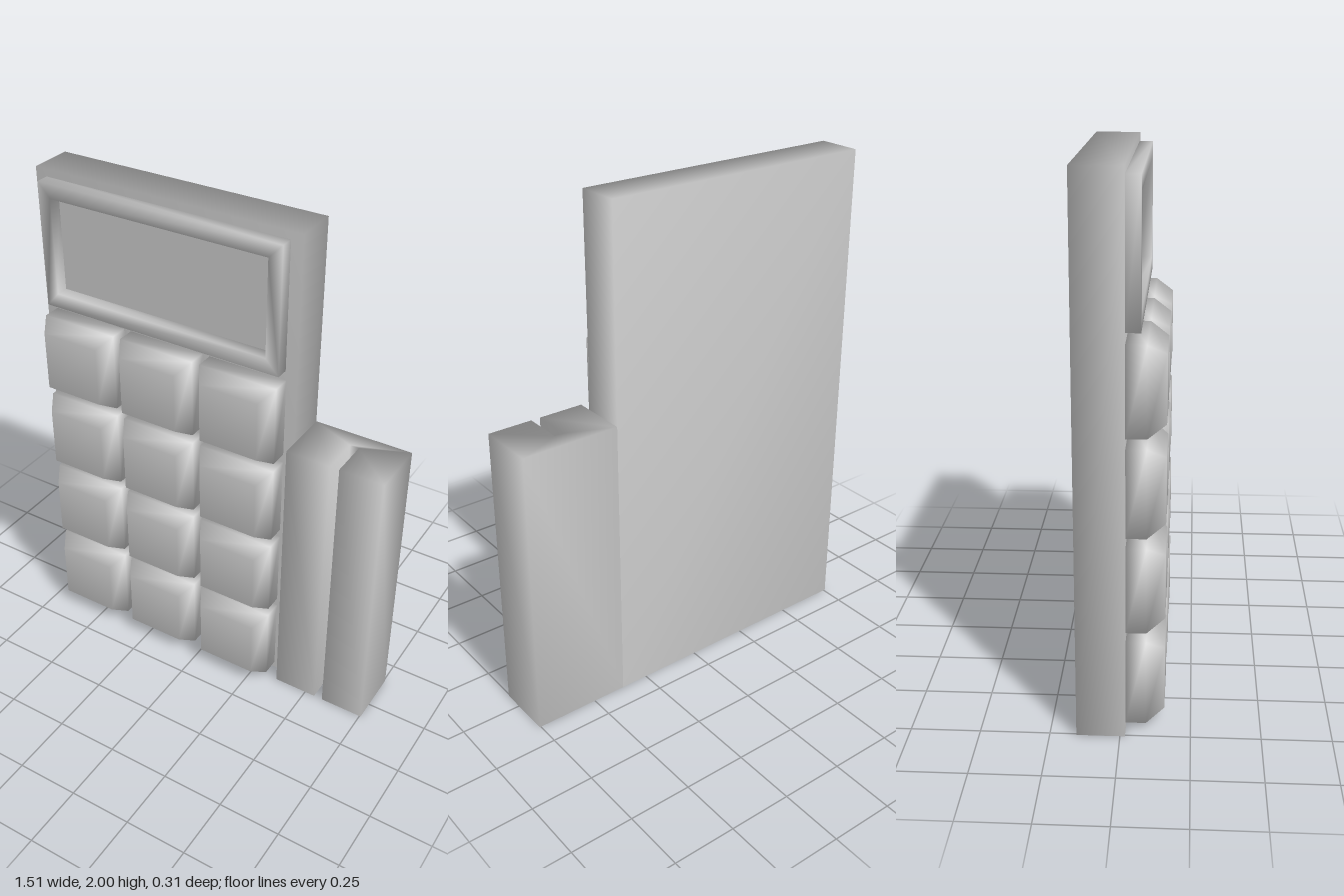
import * as THREE from 'three';
import { mergeVertices } from 'three/addons/utils/BufferGeometryUtils.js';

const material = new THREE.MeshStandardMaterial({ color: 0xcccccc });

// Share corners so the shading flows softly over the edges.
function soften(geometry) {
  geometry.deleteAttribute('uv');
  geometry.deleteAttribute('normal');
  const g = mergeVertices(geometry, 1e-4);
  g.computeVertexNormals();
  return g;
}

function part(name, geometry) {
  const mesh = new THREE.Mesh(soften(geometry), material);
  mesh.name = name;
  return mesh;
}

// Box given by its limits on each axis.
function box(x0, x1, y0, y1, z0, z1) {
  return new THREE.BoxGeometry(x1 - x0, y1 - y0, z1 - z0)
    .translate((x0 + x1) / 2, (y0 + y1) / 2, (z0 + z1) / 2);
}

const rectangle = (x0, x1, y0, y1) => [[x0, y0], [x1, y0], [x1, y1], [x0, y1]]
  .map(([x, y]) => new THREE.Vector2(x, y));

// Square key with straight lower sides and a tapered top.
function keyGeometry(size, inset, z0, z1, z2) {
  const g = new THREE.BoxGeometry(size, size, 1, 1, 1, 2);
  const p = g.attributes.position;
  const taper = 1 - 2 * inset / size;
  for (let i = 0; i < p.count; i++) {
    const z = p.getZ(i);
    const s = z > 0.25 ? taper : 1;
    p.setXYZ(i, p.getX(i) * s, p.getY(i) * s, z < -0.25 ? z0 : z > 0.25 ? z2 : z1);
  }
  return g;
}

export function createModel() {
  const model = new THREE.Group();
  model.name = 'cardTerminal';

  // Main slab
  model.add(part('body', box(-0.757, 0.363, 0, 2, -0.155, 0.018)));

  // Raised screen surround with a recessed display
  const frame = new THREE.Shape(rectangle(-0.71, 0.315, 1.465, 1.97));
  frame.holes.push(new THREE.Path(rectangle(-0.658, 0.26, 1.525, 1.912)));
  model.add(part('screenFrame',
    new THREE.ExtrudeGeometry(frame, { depth: 0.052, bevelEnabled: false }).translate(0, 0, 0.018)));
  const screen = part('screen', new THREE.PlaneGeometry(0.918, 0.387));
  screen.position.set(-0.199, 1.7185, 0.02);
  model.add(screen);

  // Card reader: a U-shaped section running up the side, slot open to the front
  const section = new THREE.Shape([
    [0.363, 0.155], [0.755, 0.155], [0.755, -0.078], [0.578, -0.078],
    [0.578, 0.08], [0.542, 0.08], [0.542, -0.078], [0.363, -0.078],
  ].map(([x, y]) => new THREE.Vector2(x, y)));
  model.add(part('cardReader',
    new THREE.ExtrudeGeometry(section, { depth: 1.17, bevelEnabled: false }).rotateX(-Math.PI / 2)));

  // Keypad: three columns, four rows
  const keypad = new THREE.Group();
  keypad.name = 'keypad';
  const key = part('key', keyGeometry(0.322, 0.04, 0.018, 0.09, 0.155));
  for (let row = 0; row < 4; row++) {
    for (let column = 0; column < 3; column++) {
      const k = key.clone();
      k.position.set(-0.55 + column * 0.354, 0.188 + row * 0.359, 0);
      keypad.add(k);
    }
  }
  model.add(keypad);

  return model;
}
